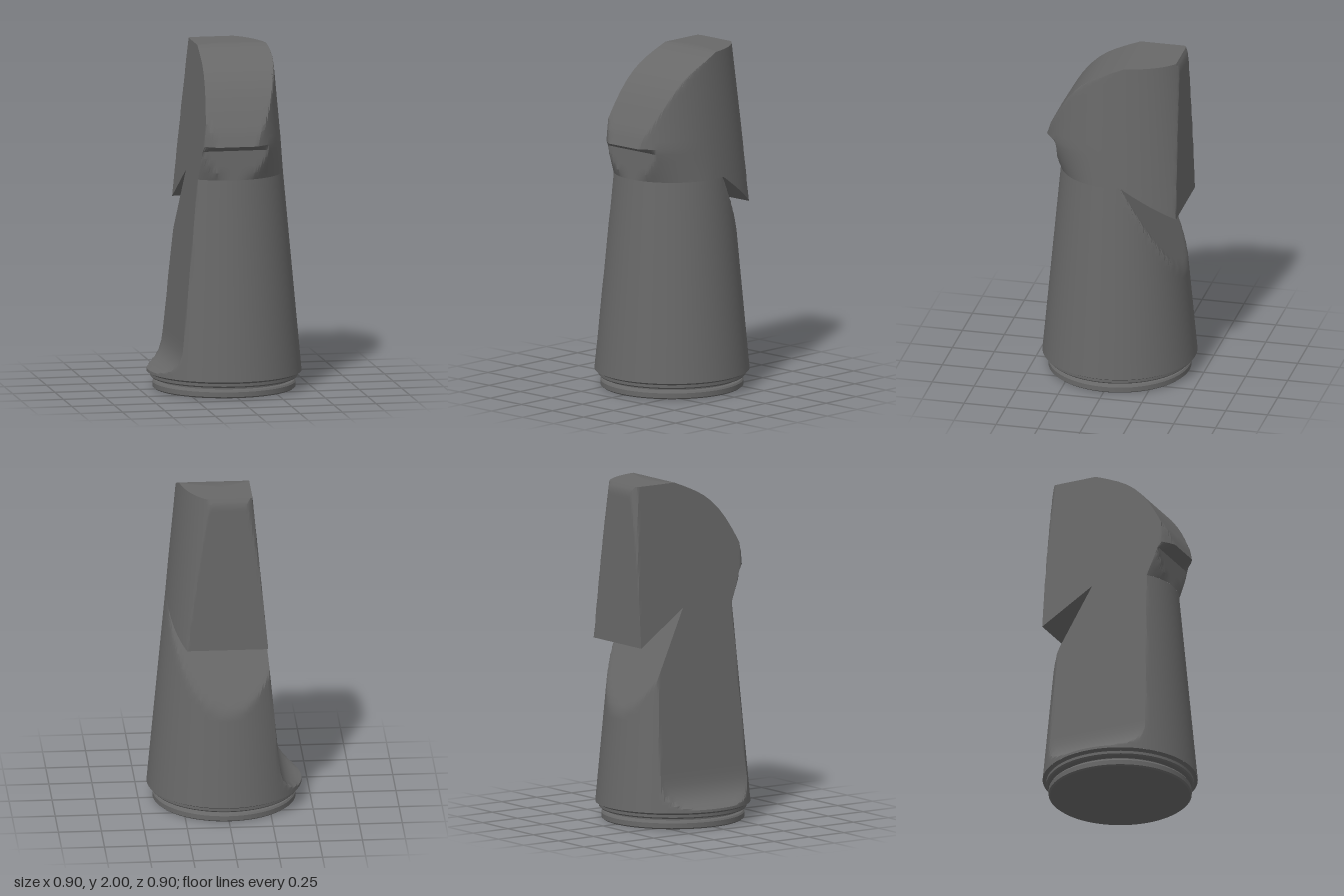
import * as THREE from 'three';
import { toCreasedNormals } from 'three/addons/utils/BufferGeometryUtils.js';

const SIDES = 144;

// Piecewise linear curve through [y, value] pairs
function curve(pairs) {
  return (y) => {
    if (y <= pairs[0][0]) return pairs[0][1];
    for (let i = 1; i < pairs.length; i++) {
      const [y0, v0] = pairs[i - 1], [y1, v1] = pairs[i];
      if (y <= y1) return v0 + ((v1 - v0) * (y - y0)) / (y1 - y0);
    }
    return pairs[pairs.length - 1][1];
  };
}

// Evenly split heights between the key heights
function rowsBetween(keys, step = 0.04) {
  const rows = [keys[0]];
  for (let i = 1; i < keys.length; i++) {
    const n = Math.max(1, Math.round((keys[i] - keys[i - 1]) / step));
    for (let k = 1; k <= n; k++) rows.push(keys[i - 1] + ((keys[i] - keys[i - 1]) * k) / n);
  }
  return rows;
}

// Stack of ellipses, each trimmed by a left, front and back plane
function trimmedLoft(rows, { rx, rzFront, rzBack, left, front, back }, capTop) {
  const rings = rows.map((y) => {
    const ring = [];
    for (let i = 0; i < SIDES; i++) {
      const a = (i / SIDES) * Math.PI * 2;
      const r = rx(y), rz = Math.sin(a) > 0 ? rzFront(y) : rzBack(y);
      const z = Math.max(back(y), Math.min(front(y), rz * Math.sin(a)));
      const depth = z > 0 ? rzFront(y) : rzBack(y);
      const reach = r * Math.sqrt(Math.max(0, 1 - (z / depth) ** 2));
      const x = Math.max(-reach, left(y), Math.min(reach, r * Math.cos(a)));
      ring.push(new THREE.Vector3(x, y, z));
    }
    return ring;
  });
  const pos = [];
  const tri = (a, b, c) => {
    const area = b.clone().sub(a).cross(c.clone().sub(a)).length();
    if (area > 1e-9) for (const p of [a, b, c]) pos.push(p.x, p.y, p.z);
  };
  for (let r = 0; r < rings.length - 1; r++) {
    for (let i = 0; i < SIDES; i++) {
      const j = (i + 1) % SIDES;
      const lo = rings[r], hi = rings[r + 1];
      tri(lo[i], hi[i], lo[j]);
      tri(hi[i], hi[j], lo[j]);
    }
  }
  if (capTop) {
    const top = rings[rings.length - 1];
    const mid = new THREE.Vector3();
    top.forEach((p) => mid.addScaledVector(p, 1 / SIDES));
    for (let i = 0; i < SIDES; i++) tri(mid, top[(i + 1) % SIDES], top[i]);
  }
  const geo = new THREE.BufferGeometry();
  geo.setAttribute('position', new THREE.Float32BufferAttribute(pos, 3));
  return toCreasedNormals(geo, 0.45);
}

export function createModel() {
  const model = new THREE.Group();
  const darkGrey = new THREE.MeshStandardMaterial({ color: 0x686868 });
  const add = (name, geometry) => {
    const mesh = new THREE.Mesh(geometry, darkGrey);
    mesh.name = name;
    model.add(mesh);
  };

  const cone = curve([[0.1, 0.45], [2, 0.274]]);
  const none = () => 9;
  // Flat side with a concave flare at its foot
  const left = curve([[0.1, -0.46], [0.115, -0.45], [0.125, -0.41], [0.14, -0.378], [0.165, -0.348],
    [0.2, -0.323], [0.25, -0.307], [0.3, -0.301], [2, -0.14]]);
  const headBackDepth = curve([[1.065, 0.53], [2, 0.41]]);
  const headBack = curve([[1.065, -0.392], [1.965, -0.382], [2, -0.365]]);

  // Grooved foot ring
  const foot = [[0, 0], [0.405, 0], [0.415, 0.008], [0.415, 0.036], [0.408, 0.046], [0.388, 0.05],
    [0.388, 0.06], [0.42, 0.064], [0.428, 0.072], [0.428, 0.088], [0.438, 0.094], [0.45, 0.1]];
  add('foot', toCreasedNormals(
    new THREE.LatheGeometry(foot.map(([r, y]) => new THREE.Vector2(r, y)), 96), 0.6));

  // Tapered body, cut by the long slope of the back notch
  add('body', trimmedLoft(
    rowsBetween([0.1, 0.115, 0.125, 0.14, 0.165, 0.2, 0.25, 0.3, 0.66, 1.27]),
    {
      rx: cone, rzFront: cone, rzBack: cone, left, front: none,
      back: curve([[0.1, -0.6], [0.65, -0.405], [0.66, -0.4], [1.27, -0.08]]),
    }, false));

  // Overhanging lip at the back, above the notch
  add('backLip', trimmedLoft(
    rowsBetween([1.065, 1.27], 0.02),
    {
      rx: cone, rzFront: cone, rzBack: headBackDepth, left, back: headBack,
      front: curve([[1.065, -0.392], [1.27, -0.08]]),
    }, false));

  // Head with a chin step and a curved brow
  const brow = [[1.27, 0.342], [1.443, 0.335], [1.476, 0.408], [1.56, 0.378], [1.7, 0.298], [1.76, 0.26],
    [1.82, 0.213], [1.868, 0.164], [1.905, 0.115], [1.936, 0.06], [1.97, -0.015], [2, -0.09]];
  add('head', trimmedLoft(
    rowsBetween([...brow.map((p) => p[0]).slice(0, -1), 1.985, 2]),
    {
      rx: cone, left, back: headBack, rzBack: headBackDepth, front: curve(brow),
      rzFront: curve([[1.27, 0.342], [1.443, 0.425], [1.476, 0.435], [2, 0.4]]),
    }, true));

  return model;
}
